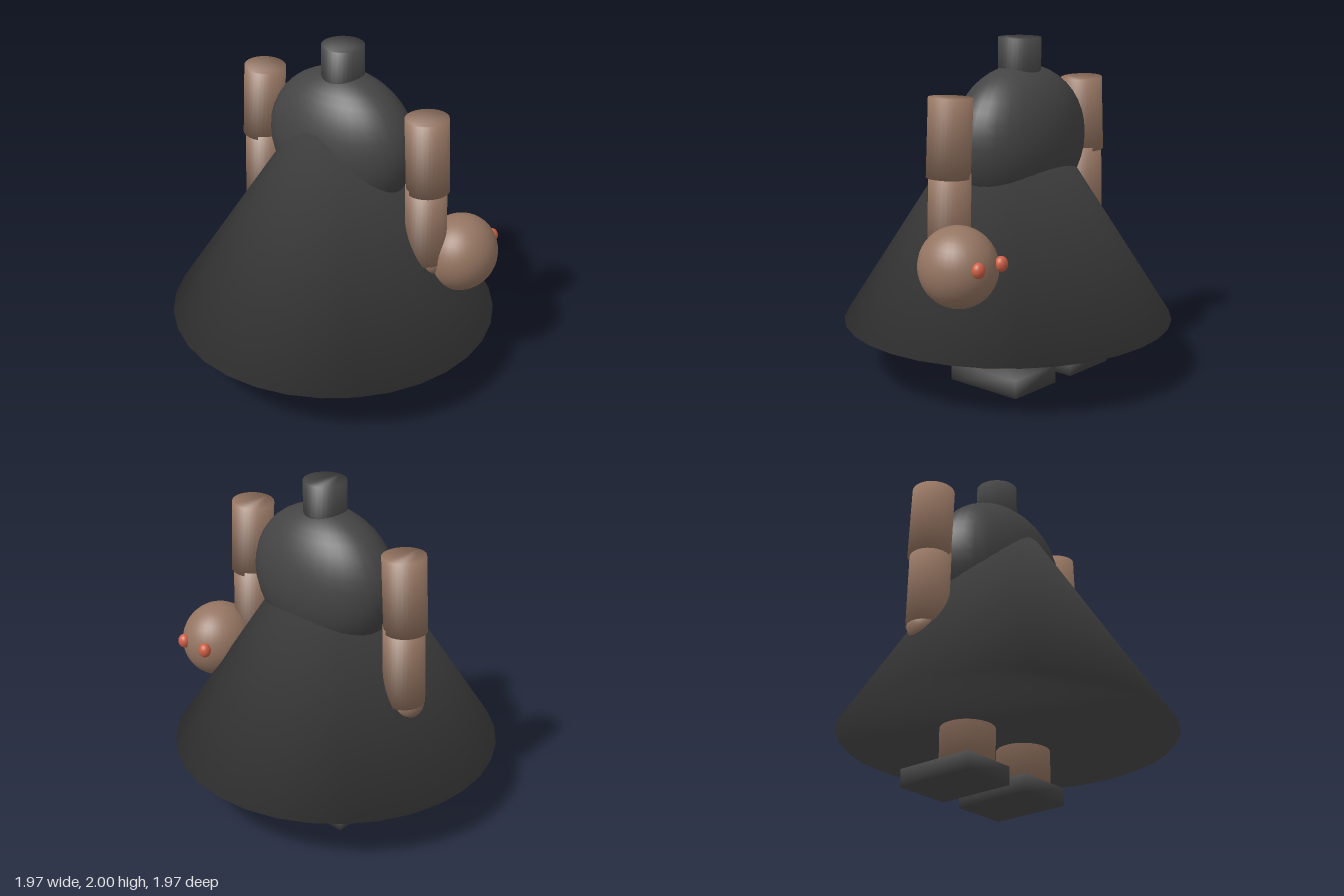
import * as THREE from 'three';

const mat = (name, color) => {
  const m = new THREE.MeshStandardMaterial({ color });
  m.name = name;
  return m;
};

// Closed cylinder or cone from y = 0 to h, shaded softly across its rims
function softFrustum(r0, r1, h, n = 32) {
  const pos = [], nor = [], idx = [];
  const len = Math.hypot(h, r0 - r1), out = h / len, up = (r0 - r1) / len;
  const v = new THREE.Vector3();
  [[r0, 0, -1], [r1, h, 1]].forEach(([r, y, cap]) => {
    for (let i = 0; i < n; i++) {
      const a = (i / n) * Math.PI * 2, s = Math.sin(a), c = Math.cos(a);
      pos.push(r * s, y, r * c);
      if (r === 0) v.set(0, 1, 0);
      else v.set(out * s, up + cap, out * c).normalize();
      nor.push(v.x, v.y, v.z);
    }
  });
  for (let i = 0; i < n; i++) {
    const j = (i + 1) % n;
    idx.push(i, j, n + j);
    if (r1 > 0) idx.push(i, n + j, n + i);
  }
  for (let i = 1; i < n - 1; i++) {
    idx.push(0, i + 1, i);
    if (r1 > 0) idx.push(n, n + i, n + i + 1);
  }
  const g = new THREE.BufferGeometry();
  g.setAttribute('position', new THREE.Float32BufferAttribute(pos, 3));
  g.setAttribute('normal', new THREE.Float32BufferAttribute(nor, 3));
  g.setIndex(idx);
  return g;
}

// Box whose corners share one diagonal normal
function softBox(w, h, d) {
  const g = new THREE.BoxGeometry(w, h, d);
  const p = g.attributes.position, k = 1 / Math.sqrt(3);
  for (let i = 0; i < p.count; i++) {
    g.attributes.normal.setXYZ(i, Math.sign(p.getX(i)) * k, Math.sign(p.getY(i)) * k, Math.sign(p.getZ(i)) * k);
  }
  return g;
}

export function createModel() {
  const model = new THREE.Group();
  model.name = 'cloakedFigure';
  const cloth = mat('charcoal cloth', 0x444444);
  const skin = mat('brown skin', 0x957562);
  const red = mat('orange red', 0xcc5f45);

  const add = (name, geo, material, x, y, z) => {
    const m = new THREE.Mesh(geo, material);
    m.name = name;
    m.position.set(x, y, z);
    model.add(m);
    return m;
  };
  const ball = (name, material, x, y, z, rx, ry, rz) =>
    add(name, new THREE.SphereGeometry(1, 32, 20), material, x, y, z).scale.set(rx, ry, rz);
  // Limb running between two heights, leaning from x0 to x1
  const limb = (name, r, x0, y0, x1, y1) => {
    const m = add(name, softFrustum(r, r, Math.hypot(x1 - x0, y1 - y0)), skin, x0, y0, -0.09);
    m.rotation.z = -Math.atan2(x1 - x0, y1 - y0);
  };

  // Cloak, torso and neck
  add('cloak', softFrustum(0.987, 0, 1.54), cloth, 0, 0.32, 0);
  ball('torso', cloth, 0, 1.415, -0.09, 0.485, 0.43, 0.305);
  add('neck', softFrustum(0.125, 0.125, 0.3), cloth, 0, 1.7, -0.09);

  // Arms, hands, legs and feet
  for (const [side, s] of [['left', 1], ['right', -1]]) {
    limb(side + 'UpperArm', 0.125, s * 0.608, 1.268, s * 0.583, 1.714);
    limb(side + 'Forearm', 0.121, s * 0.61, 0.82, s * 0.595, 1.29);
    ball(side + 'Hand', skin, s * 0.63, 0.82, -0.09, 0.1, 0.1, 0.1);
    limb(side + 'Leg', 0.16, s * 0.25, 0.09, s * 0.25, 0.7);
    add(side + 'Foot', softBox(0.36, 0.108, 0.5), cloth, s * 0.25, 0.054, -0.18);
  }

  // Carried head with two eyes, facing the same way as the feet
  ball('head', skin, 0.732, 0.815, -0.275, 0.217, 0.23, 0.232);
  for (const [name, x] of [['leftEye', 0.625], ['rightEye', 0.808]]) {
    ball(name, red, x, 0.85, -0.494, 0.039, 0.044, 0.036);
  }
  return model;
}
